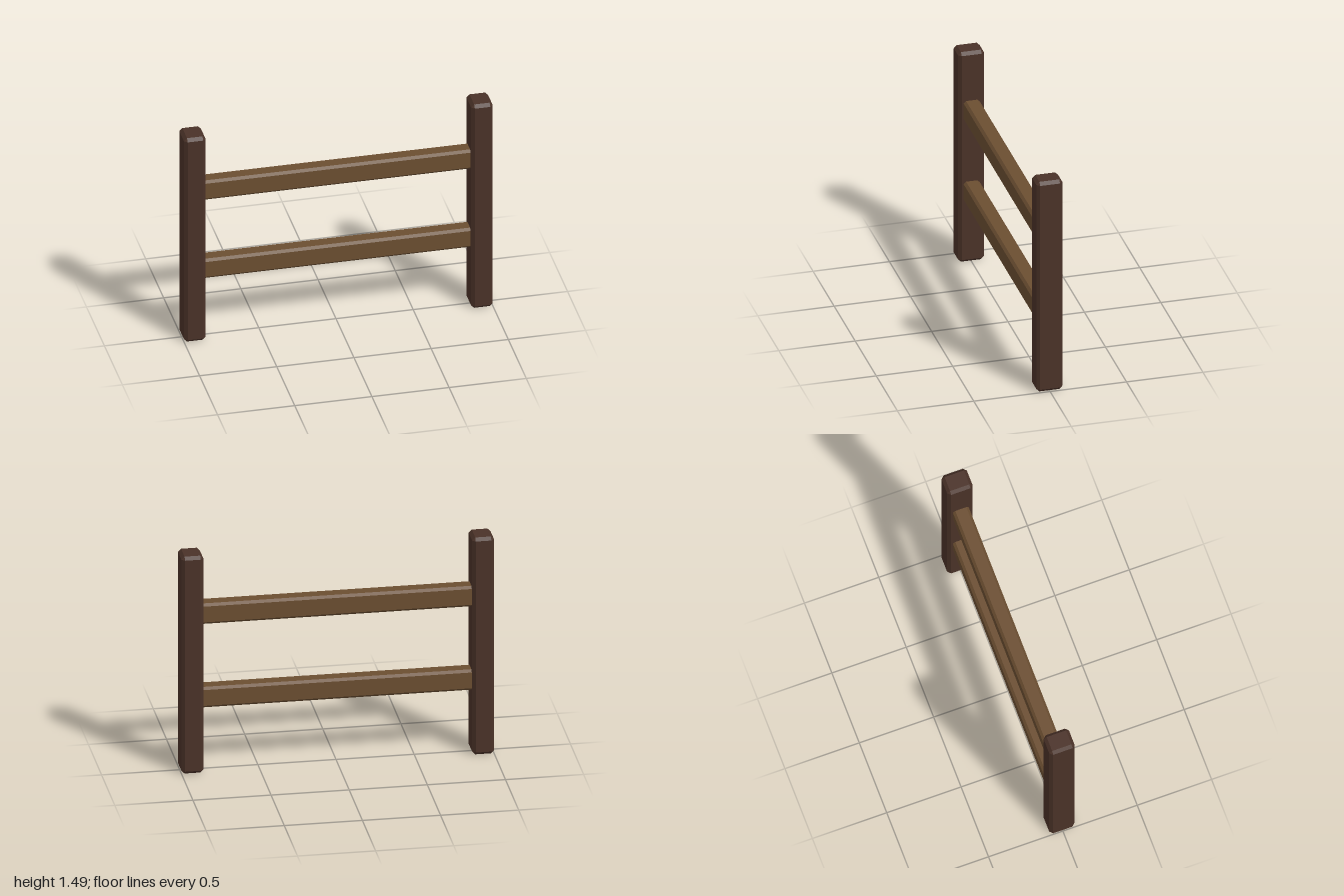
import * as THREE from 'three';
import { ConvexGeometry } from 'three/addons/geometries/ConvexGeometry.js';

// Box with every edge cut by a flat chamfer
function chamferBox(w, h, d, c) {
  const points = [];
  for (const sx of [-1, 1]) for (const sy of [-1, 1]) for (const sz of [-1, 1]) {
    const x = w / 2, y = h / 2, z = d / 2;
    points.push(
      new THREE.Vector3(sx * x, sy * (y - c), sz * (z - c)),
      new THREE.Vector3(sx * (x - c), sy * y, sz * (z - c)),
      new THREE.Vector3(sx * (x - c), sy * (y - c), sz * z)
    );
  }
  return new ConvexGeometry(points);
}

export function createModel() {
  const group = new THREE.Group();
  group.name = 'fence';

  const darkWood = new THREE.MeshStandardMaterial({ color: 0x4a3228 });
  darkWood.name = 'dark wood';
  const brownWood = new THREE.MeshStandardMaterial({ color: 0x6b4e31 });
  brownWood.name = 'brown wood';

  const add = (name, geometry, material, x, y) => {
    const mesh = new THREE.Mesh(geometry, material);
    mesh.name = name;
    mesh.position.set(x, y, 0);
    group.add(mesh);
  };

  // Upright posts at both ends
  const post = chamferBox(0.14, 1.486, 0.17, 0.02);
  add('leftPost', post, darkWood, 0.93, 0.743);
  add('rightPost', post, darkWood, -0.93, 0.743);

  // Horizontal rails, running into the posts
  const rail = chamferBox(1.99, 0.14, 0.106, 0.016);
  add('lowerRail', rail, brownWood, 0, 0.503);
  add('upperRail', rail, brownWood, 0, 1.075);

  return group;
}
